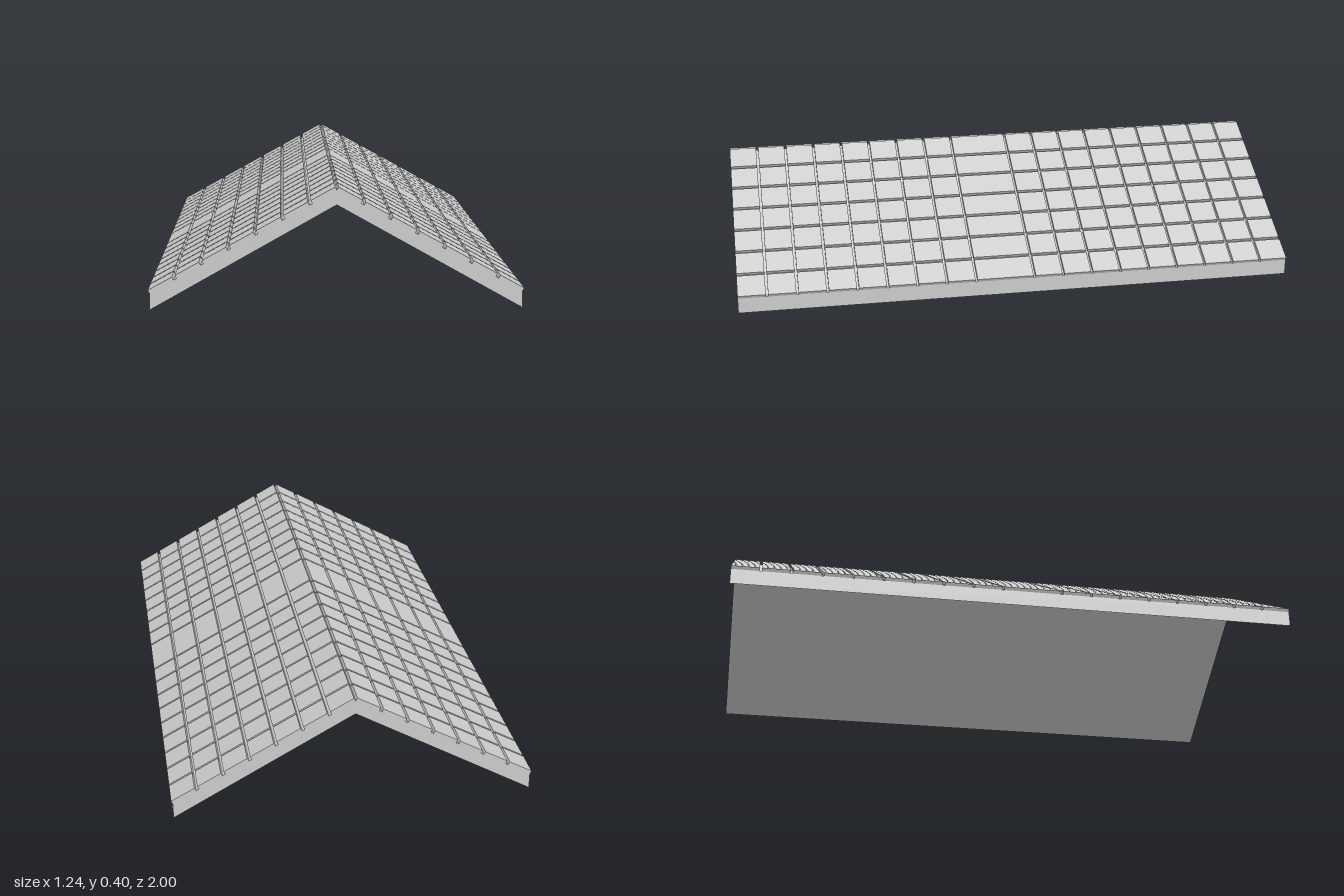
import * as THREE from 'three';

const HALF = 0.612;          // half span of the roof
const RIDGE = 0.393, EAVE = 0.055, INNER = 0.345; // slab heights
const LENGTH = 2;
const ROWS = 7, COLS = 19, GAP_S = 0.011, GAP_Z = 0.008;
const THICK = 0.014, SINK = 0.002;

export function createModel() {
  const roof = new THREE.Group();
  roof.name = 'tiledGableRoof';
  const material = new THREE.MeshStandardMaterial({ color: 0xcccccc, flatShading: true });

  // Solid chevron slab under the tiles
  const profile = new THREE.Shape([
    [-HALF, 0], [0, INNER], [HALF, 0], [HALF, EAVE], [0, RIDGE], [-HALF, EAVE],
  ].map(([x, y]) => new THREE.Vector2(x, y)));
  const slabGeometry = new THREE.ExtrudeGeometry(profile, { depth: LENGTH, bevelEnabled: false });
  slabGeometry.translate(0, 0, -LENGTH / 2);
  const slab = new THREE.Mesh(slabGeometry, material);
  slab.name = 'roofSlab';
  roof.add(slab);

  // Tile grid, laid out down the slope from the ridge
  const slope = Math.hypot(HALF, RIDGE - EAVE);
  const angle = Math.atan2(RIDGE - EAVE, HALF);
  const pitchS = (slope + GAP_S) / ROWS;
  const pitchZ = (LENGTH + GAP_Z) / COLS;
  const tileLength = pitchS - GAP_S;

  for (const side of [1, -1]) {
    // Each slope is a tilted group whose local x runs along the slope
    const tiles = new THREE.Group();
    tiles.name = side > 0 ? 'leftSlopeTiles' : 'rightSlopeTiles';
    tiles.position.y = RIDGE;
    tiles.rotation.z = -side * angle;
    for (let col = 0; col < COLS; col++) {
      if (col === 10) continue; // covered by the double-width column
      const span = col === 9 ? 2 : 1;
      const width = span * pitchZ - GAP_Z;
      const geometry = new THREE.BoxGeometry(tileLength, THICK, width);
      for (let row = 0; row < ROWS; row++) {
        const tile = new THREE.Mesh(geometry, material);
        tile.name = 'roofTile';
        tile.position.set(
          side * (row * pitchS + tileLength / 2),
          THICK / 2 - SINK,
          -LENGTH / 2 + col * pitchZ + width / 2,
        );
        tiles.add(tile);
      }
    }
    roof.add(tiles);
  }
  return roof;
}
